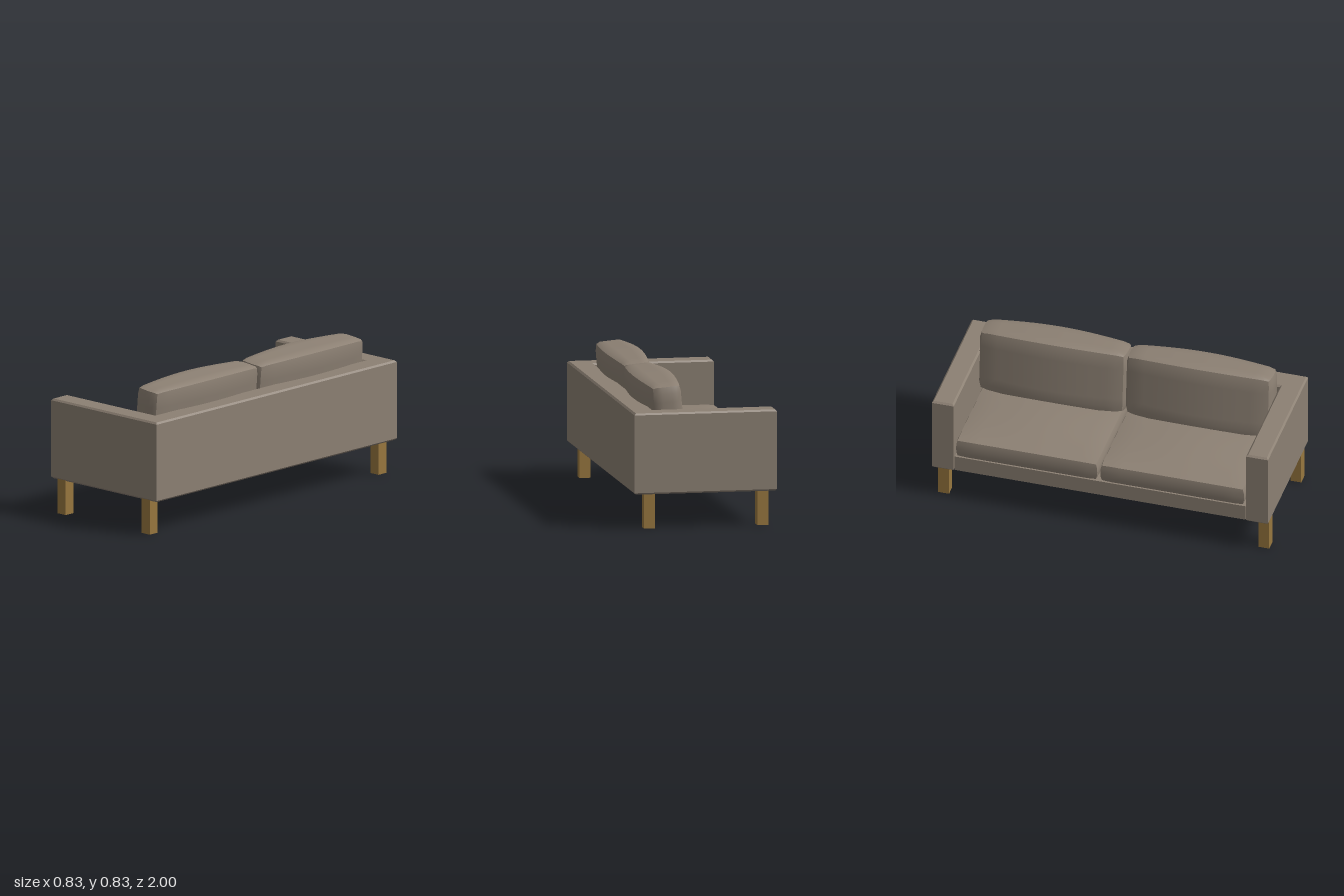
import * as THREE from 'three';
import { mergeVertices, toCreasedNormals } from 'three/addons/utils/BufferGeometryUtils.js';

const fabric = new THREE.MeshStandardMaterial({ color: 0x8c8073 });
fabric.name = 'taupe fabric';
const wood = new THREE.MeshStandardMaterial({ color: 0x98773f });
wood.name = 'oak wood';

function add(parent, name, geometry, material, x = 0, y = 0, z = 0) {
  const mesh = new THREE.Mesh(geometry, material);
  mesh.name = name;
  mesh.position.set(x, y, z);
  parent.add(mesh);
  return mesh;
}

// Box with softened edges; bulge(p, u, v, w) then swells it, with u, v, w in -1..1
function softBox(size, segments, radius, bulge) {
  let geo = new THREE.BoxGeometry(...size, ...segments);
  geo.deleteAttribute('uv');
  geo.deleteAttribute('normal');
  geo = mergeVertices(geo);
  const half = new THREE.Vector3(...size).multiplyScalar(0.5);
  const core = half.clone().subScalar(radius);
  const low = core.clone().negate();
  const pos = geo.attributes.position;
  const p = new THREE.Vector3();
  for (let i = 0; i < pos.count; i++) {
    p.fromBufferAttribute(pos, i);
    const inner = p.clone().clamp(low, core);
    p.sub(inner).setLength(radius).add(inner);
    bulge(p, p.x / half.x, p.y / half.y, p.z / half.z);
    pos.setXYZ(i, p.x, p.y, p.z);
  }
  return toCreasedNormals(geo, 0.6);
}

const arch = (t) => Math.cos(Math.min(1, Math.abs(t)) * Math.PI / 2);

export function createModel() {
  const sofa = new THREE.Group();
  sofa.name = 'sofa';

  // Arms and back as one U-shaped shell with a small bevel
  const outline = [[-0.415, -1], [0.415, -1], [0.415, 1], [-0.415, 1],
    [-0.415, 0.87], [0.28, 0.87], [0.28, -0.87], [-0.415, -0.87]];
  const shell = new THREE.ExtrudeGeometry(
    new THREE.Shape(outline.map(([x, y]) => new THREE.Vector2(x, y))),
    { depth: 0.45, bevelThickness: 0.01, bevelSize: 0.01, bevelOffset: -0.01, bevelSegments: 1 });
  shell.rotateX(-Math.PI / 2);
  add(sofa, 'armsAndBack', shell, fabric, 0, 0.21, 0);

  // Seat base, with a slight gap around it
  add(sofa, 'seatBase', new THREE.BoxGeometry(0.685, 0.095, 1.73), fabric, -0.068, 0.255, 0);

  // Seat cushions with a crowned top
  for (const [name, z, width] of [['rightSeatCushion', -0.438, 0.835], ['leftSeatCushion', 0.428, 0.85]]) {
    const cushion = softBox([0.685, 0.118, width], [12, 4, 14], 0.018, (p, u, v, w) => {
      if (v > 0) p.y += 0.025 * v * arch(u) * arch(w);
      p.z += 0.008 * Math.sign(w) * Math.abs(w) * arch(v);
    });
    add(sofa, name, cushion, fabric, -0.07, 0.362, z);
  }

  // Back cushions, fuller in the middle and leaning back
  for (const [name, z, width, full] of [['rightBackCushion', -0.437, 0.865, 1], ['leftBackCushion', 0.431, 0.855, 0.95]]) {
    const cushion = softBox([0.235, 0.39, width], [6, 8, 16], 0.035, (p, u, v, w) => {
      p.x *= full * (0.72 + 0.28 * arch(w));
      p.y += 0.014 * v * arch(w);
      p.z += 0.008 * w * arch(u);
    });
    add(sofa, name, cushion, fabric, 0.187, 0.613, z).rotation.z = -0.09;
  }

  // Four square legs
  for (const x of [-0.338, 0.323]) {
    for (const z of [-0.943, 0.962]) {
      add(sofa, 'leg', new THREE.BoxGeometry(0.065, 0.205, 0.065), wood, x, 0.1025, z);
    }
  }
  return sofa;
}
